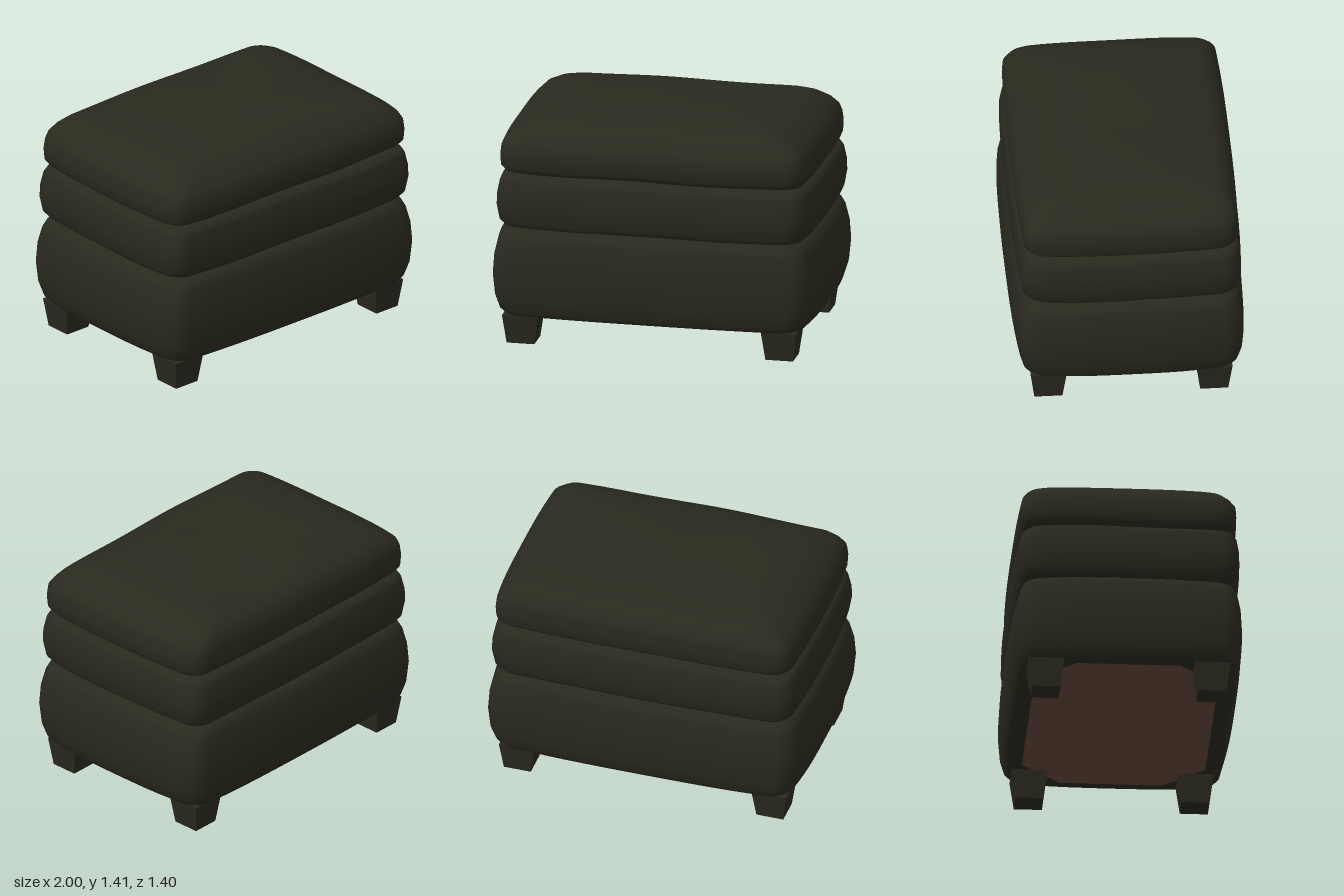
import * as THREE from 'three';

const olive = new THREE.MeshStandardMaterial({ name: 'dark olive leather', color: 0x2a291e });
const brown = new THREE.MeshStandardMaterial({ name: 'brown underside', color: 0x644838 });

// Rounded rectangle in plan whose four sides bow outwards by a fraction
function planRing(hx, hz, radius, bow) {
  const a = hx / (1 + bow), c = hz / (1 + bow);
  const r = Math.min(radius, a * 0.6, c * 0.6);
  const corners = [[1, 1], [-1, 1], [-1, -1], [1, -1]];
  const raw = [];
  corners.forEach(([sx, sz], i) => {
    for (let k = 0; k <= 6; k++) {
      const t = (i + k / 6) * Math.PI / 2;
      raw.push([sx * (a - r) + r * Math.cos(t), sz * (c - r) + r * Math.sin(t)]);
    }
  });
  const pts = [];
  raw.forEach((p, i) => {
    const q = raw[(i + 1) % raw.length];
    const steps = i % 7 === 6 ? 14 : 1; // subdivide the long sides
    for (let s = 0; s < steps; s++) {
      const x = p[0] + (q[0] - p[0]) * s / steps, z = p[1] + (q[1] - p[1]) * s / steps;
      pts.push([
        x * (1 + bow * (1 - Math.abs(z / c) ** 3)),
        z * (1 + bow * (1 - Math.abs(x / a) ** 3)),
      ]);
    }
  });
  return pts;
}

// Padded block lofted through rows of [y, half width, half depth, z shift]
function cushion(name, rows, { radius, bow, phase }) {
  const pos = [], index = [];
  let n = 0;
  rows.forEach(([y, hx, hz, dz = 0]) => {
    const ring = planRing(hx, hz, radius, bow);
    n = ring.length;
    // gentle sag of the upholstery, none on the flat underside
    const depth = y < 0.2 ? 0 : 0.004;
    ring.forEach(([x, z]) => {
      pos.push(x, y + depth * Math.sin(7 * x + phase) * Math.cos(6 * z + phase), z + dz);
    });
  });
  for (let j = 0; j < rows.length - 1; j++) {
    for (let i = 0; i < n; i++) {
      const a = j * n + i, b = j * n + (i + 1) % n;
      index.push(a, a + n, b, b, a + n, b + n);
    }
  }
  // close both ends with a fan
  const last = rows.length - 1, centre = pos.length / 3;
  pos.push(0, rows[0][0], 0, 0, rows[last][0], rows[last][3] || 0);
  for (let i = 0; i < n; i++) {
    const k = (i + 1) % n;
    index.push(centre, i, k, centre + 1, last * n + k, last * n + i);
  }
  const geo = new THREE.BufferGeometry();
  geo.setAttribute('position', new THREE.Float32BufferAttribute(pos, 3));
  geo.setIndex(index);
  geo.computeVertexNormals();
  const mesh = new THREE.Mesh(geo, olive);
  mesh.name = name;
  return mesh;
}

// Square foot tapering towards the floor
function leg(sx, sz) {
  const geo = new THREE.BoxGeometry(0.216, 0.178, 0.216);
  const p = geo.attributes.position;
  for (let i = 0; i < p.count; i++) {
    if (p.getY(i) < 0) p.setXYZ(i, p.getX(i) * 0.78, p.getY(i), p.getZ(i) * 0.78);
  }
  geo.computeVertexNormals();
  const mesh = new THREE.Mesh(geo, olive);
  mesh.name = (sz > 0 ? 'front' : 'back') + (sx > 0 ? 'Left' : 'Right') + 'Leg';
  mesh.position.set(sx * 0.792 - 0.007, 0.089, sz * 0.497);
  return mesh;
}

export function createModel() {
  const model = new THREE.Group();
  model.name = 'ottoman';

  model.add(cushion('baseBox', [
    [0.176, 0.8, 0.52], [0.176, 0.9, 0.61], [0.184, 0.935, 0.645], [0.215, 0.962, 0.667],
    [0.3, 0.988, 0.689], [0.43, 1.0, 0.699], [0.55, 0.992, 0.692], [0.65, 0.97, 0.673],
    [0.695, 0.948, 0.655], [0.715, 0.905, 0.615], [0.72, 0.84, 0.56],
  ], { radius: 0.09, bow: 0.05, phase: 0.4 }));

  model.add(cushion('middleCushion', [
    [0.715, 0.82, 0.54], [0.724, 0.89, 0.605], [0.737, 0.93, 0.642], [0.77, 0.957, 0.667],
    [0.86, 0.972, 0.68], [0.93, 0.97, 0.678], [1.01, 0.955, 0.665], [1.04, 0.938, 0.65],
    [1.055, 0.9, 0.615], [1.06, 0.82, 0.54],
  ], { radius: 0.09, bow: 0.04, phase: 1.7 }));

  model.add(cushion('topCushion', [
    [1.055, 0.8, 0.52], [1.064, 0.885, 0.595], [1.08, 0.928, 0.632], [1.108, 0.947, 0.655],
    [1.17, 0.95, 0.66], [1.23, 0.943, 0.656], [1.27, 0.925, 0.64, -0.01],
    [1.31, 0.885, 0.613, -0.015], [1.345, 0.82, 0.575, -0.02], [1.37, 0.755, 0.52, -0.02],
    [1.388, 0.68, 0.43, 0.01], [1.4, 0.58, 0.31, 0.05], [1.406, 0.4, 0.18, 0.1], [1.408, 0.2, 0.08, 0.12],
  ], { radius: 0.09, bow: 0.035, phase: 2.6 }));

  // Fabric sheet under the base, clipped at the feet
  const w = 0.85, d = 0.55, cut = 0.24;
  const outline = new THREE.Shape([
    [w - cut, -d], [w, cut - d], [w, d - cut], [w - cut, d],
    [cut - w, d], [-w, d - cut], [-w, cut - d], [cut - w, -d],
  ].map(([x, y]) => new THREE.Vector2(x, y)));
  const sheet = new THREE.Mesh(new THREE.ShapeGeometry(outline), brown);
  sheet.name = 'undersideFabric';
  sheet.rotation.x = Math.PI / 2;
  sheet.position.y = 0.173;
  model.add(sheet);

  for (const sx of [-1, 1]) for (const sz of [-1, 1]) model.add(leg(sx, sz));
  return model;
}
